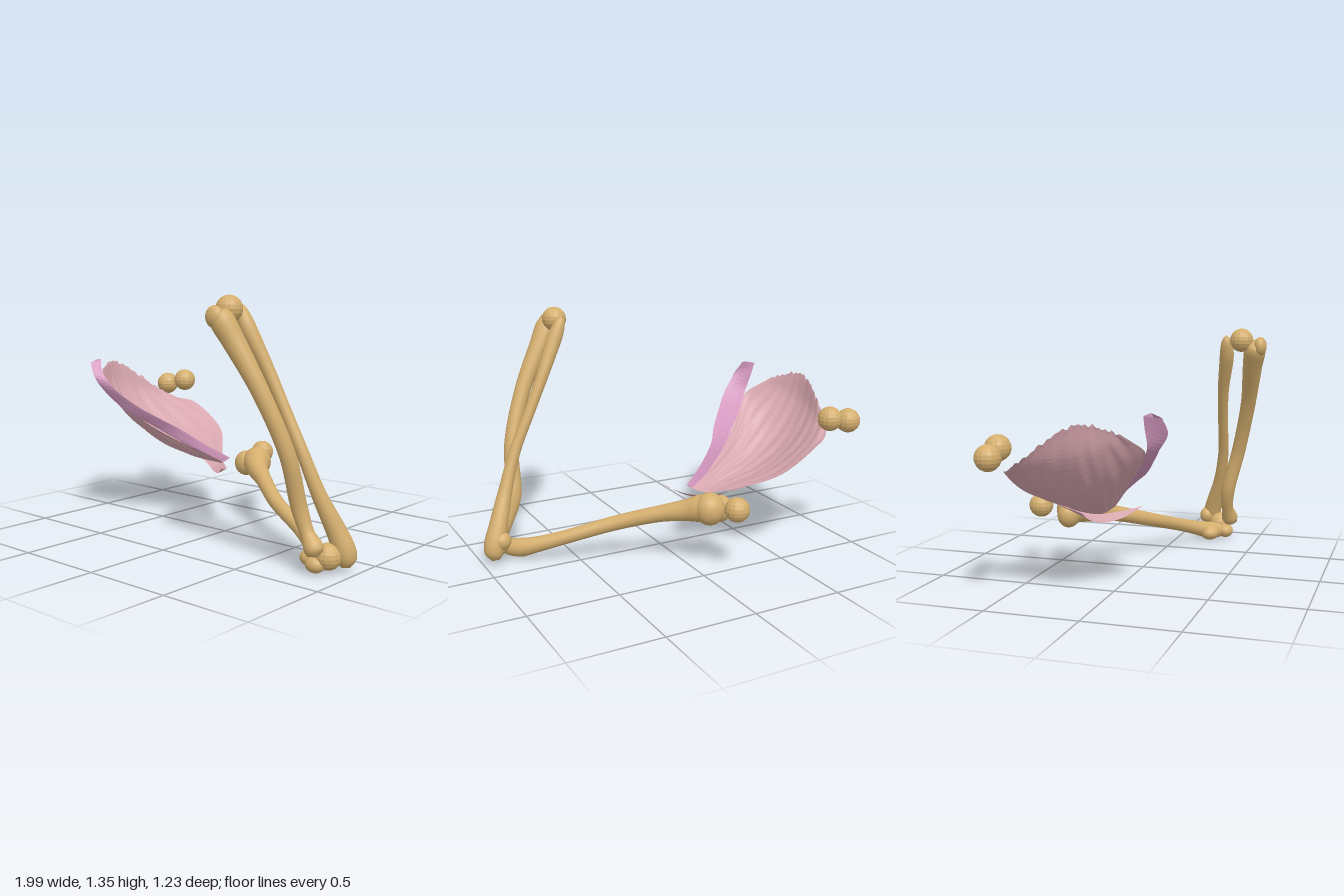
import * as THREE from 'three';
import { mergeVertices } from 'three/addons/utils/BufferGeometryUtils.js';

const bone = new THREE.MeshStandardMaterial({ color: 0xd4ae6e });
bone.name = 'bone';
const jointBone = new THREE.MeshStandardMaterial({ color: 0xd4ae6e, flatShading: true });
jointBone.name = 'facetedBone';
const bladePink = new THREE.MeshStandardMaterial({ color: 0xd6a5ad, side: THREE.DoubleSide, flatShading: true });
bladePink.name = 'bladePink';
const spinePink = new THREE.MeshStandardMaterial({ color: 0xd296bd, side: THREE.DoubleSide, flatShading: true });
spinePink.name = 'spinePink';

const V = (p) => new THREE.Vector3(p[0], p[1], p[2]);

// Tube through [x, y, z, radius] stations, with smooth varying thickness and closed ends
function longBone(name, stations, segments = 72, sides = 18) {
  const curve = new THREE.CatmullRomCurve3(stations.map(V));
  const radii = new THREE.SplineCurve(stations.map((s, i) => new THREE.Vector2(i, s[3])));
  let geo = new THREE.TubeGeometry(curve, segments, 1, sides);
  const pos = geo.attributes.position;
  const p = new THREE.Vector3();
  for (let i = 0; i <= segments; i++) {
    const centre = curve.getPointAt(i / segments);
    const isEnd = i === 0 || i === segments;
    const r = isEnd ? 0 : Math.max(0.004, radii.getPoint(curve.getUtoTmapping(i / segments)).y);
    for (let j = 0; j <= sides; j++) {
      const k = i * (sides + 1) + j;
      p.fromBufferAttribute(pos, k).sub(centre).multiplyScalar(r).add(centre);
      pos.setXYZ(k, p.x, p.y, p.z);
    }
  }
  geo.deleteAttribute('uv');
  geo.deleteAttribute('normal');
  geo = mergeVertices(geo, 1e-5);
  geo.computeVertexNormals();
  const mesh = new THREE.Mesh(geo, bone);
  mesh.name = name;
  return mesh;
}

// Smooth rounded lump of bone
function lobe(name, at, size) {
  const mesh = new THREE.Mesh(new THREE.SphereGeometry(1, 24, 16), bone);
  mesh.position.copy(V(at));
  mesh.scale.set(...size);
  mesh.name = name;
  return mesh;
}

// Skin over rows of control points; bump(u, v) lifts the surface in y
function loft(name, rows, nu, nv, material, { bump = () => 0, closed = false } = {}) {
  const across = rows[0].map((_, c) => new THREE.CatmullRomCurve3(rows.map((r) => V(r[c]))));
  const verts = [];
  const index = [];
  for (let i = 0; i <= nu; i++) {
    const u = i / nu;
    const pts = across.map((c) => c.getPoint(u));
    const section = new THREE.CatmullRomCurve3(pts, closed, 'catmullrom', closed ? 0.15 : 0.5);
    for (let j = 0; j <= nv; j++) {
      const q = section.getPoint(j / nv);
      verts.push(q.x, q.y + bump(u, j / nv), q.z);
      if (i < nu && j < nv) {
        const a = i * (nv + 1) + j;
        const b = a + nv + 1;
        index.push(a, a + 1, b, b, a + 1, b + 1);
      }
    }
  }
  const geo = new THREE.BufferGeometry();
  geo.setAttribute('position', new THREE.Float32BufferAttribute(verts, 3));
  geo.setIndex(index);
  geo.computeVertexNormals();
  const mesh = new THREE.Mesh(geo, material);
  mesh.name = name;
  return mesh;
}

function createUpperArm() {
  const g = new THREE.Group();
  g.name = 'upperArmBone';
  g.add(
    longBone('upperArmShaft', [
      [-0.15, 0.35, -0.42, 0.03], [-0.08, 0.34, -0.375, 0.075], [0.0, 0.315, -0.3, 0.06],
      [0.11, 0.287, -0.215, 0.046], [0.32, 0.217, -0.065, 0.041], [0.58, 0.135, 0.06, 0.039],
      [0.7, 0.095, 0.13, 0.044], [0.78, 0.068, 0.195, 0.052], [0.83, 0.06, 0.255, 0.045], [0.855, 0.06, 0.3, 0.02],
    ]),
    lobe('upperArmHead', [-0.09, 0.34, -0.4], [0.085, 0.09, 0.083]),
    lobe('upperArmTubercle', [-0.165, 0.325, -0.385], [0.07, 0.075, 0.064]),
    lobe('outerCondyle', [0.84, 0.057, 0.295], [0.052, 0.043, 0.048]),
    lobe('innerCondyle', [0.765, 0.055, 0.21], [0.07, 0.046, 0.06]),
  );
  return g;
}

function createForearm() {
  const g = new THREE.Group();
  g.name = 'forearmBones';
  g.add(
    longBone('outerForearmBone', [
      [0.87, 0.105, 0.325, 0.015], [0.86, 0.12, 0.325, 0.042], [0.845, 0.15, 0.32, 0.05],
      [0.805, 0.21, 0.315, 0.037], [0.763, 0.33, 0.325, 0.042], [0.74, 0.6, 0.395, 0.042],
      [0.635, 0.9, 0.47, 0.045], [0.5, 1.15, 0.52, 0.058], [0.45, 1.24, 0.542, 0.062], [0.425, 1.285, 0.555, 0.04],
    ]),
    lobe('outerForearmLip', [0.435, 1.255, 0.575], [0.05, 0.055, 0.036]),
    longBone('innerForearmBone', [
      [0.955, 0.03, 0.165, 0.015], [0.945, 0.055, 0.17, 0.045], [0.935, 0.11, 0.18, 0.058],
      [0.905, 0.2, 0.2, 0.053], [0.83, 0.4, 0.26, 0.038], [0.755, 0.6, 0.295, 0.032],
      [0.66, 0.8, 0.31, 0.03], [0.565, 1.0, 0.332, 0.034], [0.47, 1.2, 0.37, 0.042],
      [0.435, 1.28, 0.375, 0.03], [0.425, 1.32, 0.378, 0.012],
    ]),
    lobe('elbowHook', [0.895, 0.14, 0.16], [0.05, 0.05, 0.045]),
  );
  return g;
}

function createShoulderBlade() {
  const g = new THREE.Group();
  g.name = 'shoulderBlade';
  // Fan-shaped bowl from the neck to the inner border, with faint radiating ridges
  const ripple = (u, v) => 0.003 * Math.min(1, 3 * u) * (Math.sin(v * 61 + u * 3) + Math.sin(v * 37 - u * 9))
    + (u > 0.97 ? 0.005 * Math.sin(v * 90) : 0);
  g.add(
    loft('blade', [
      [[-0.13, 0.38, -0.12], [-0.15, 0.36, -0.15], [-0.2, 0.35, -0.2]],
      [[-0.35, 0.48, -0.01], [-0.36, 0.385, -0.12], [-0.3, 0.4, -0.32]],
      [[-0.56, 0.61, 0.12], [-0.57, 0.45, -0.1], [-0.48, 0.5, -0.5]],
      [[-0.72, 0.77, 0.24], [-0.76, 0.57, -0.08], [-0.72, 0.645, -0.51]],
      [[-0.81, 0.84, 0.2], [-0.905, 0.76, -0.06], [-0.81, 0.67, -0.45]],
      [[-0.86, 0.88, 0.16], [-0.945, 0.92, -0.05], [-0.87, 0.71, -0.38]],
    ], 32, 56, bladePink, { bump: ripple }),
    // Lower lip running from the socket along the outer border
    loft('socketLip', [
      [[-0.02, 0.37, 0.01], [-0.03, 0.36, -0.02]],
      [[-0.12, 0.315, -0.08], [-0.1, 0.34, -0.13]],
      [[-0.22, 0.305, -0.15], [-0.2, 0.345, -0.22]],
      [[-0.32, 0.335, -0.2], [-0.31, 0.395, -0.33]],
      [[-0.45, 0.4, -0.2], [-0.46, 0.485, -0.47]],
    ], 20, 6, bladePink),
    // Curved ridge along the front border, a flat band with a shallow keel
    loft('bladeSpine', [
      [[-0.73, 0.97, 0.27], [-0.75, 0.95, 0.33], [-0.79, 0.96, 0.25]],
      [[-0.685, 0.9, 0.3], [-0.7, 0.87, 0.345], [-0.77, 0.9, 0.25]],
      [[-0.6, 0.8, 0.28], [-0.67, 0.78, 0.29], [-0.73, 0.8, 0.25]],
      [[-0.5, 0.7, 0.195], [-0.57, 0.66, 0.205], [-0.64, 0.69, 0.18]],
      [[-0.41, 0.625, 0.1], [-0.47, 0.585, 0.11], [-0.53, 0.6, 0.095]],
      [[-0.35, 0.57, 0.02], [-0.39, 0.52, 0.03], [-0.43, 0.525, 0.02]],
      [[-0.22, 0.475, -0.075], [-0.23, 0.43, -0.065], [-0.27, 0.43, -0.075]],
      [[-0.09, 0.4, -0.15], [-0.12, 0.375, -0.13], [-0.13, 0.38, -0.15]],
    ], 35, 9, spinePink, { closed: true }),
  );
  return g;
}

export function createModel() {
  const model = new THREE.Group();
  model.name = 'forelimbSkeleton';
  model.add(createShoulderBlade(), createUpperArm(), createForearm());

  // Faceted balls marking the joints
  const ball = new THREE.SphereGeometry(0.068, 16, 10);
  const joints = {
    bladeJointOuter: [-0.93, 0.75, -0.49],
    bladeJointInner: [-0.79, 0.78, -0.505],
    shoulderJoint: [-0.17, 0.37, -0.55],
    elbowJoint: [0.885, 0.095, 0.25],
    wristJoint: [0.433, 1.29, 0.465],
  };
  for (const [name, at] of Object.entries(joints)) {
    const mesh = new THREE.Mesh(ball, jointBone);
    mesh.position.copy(V(at));
    mesh.name = name;
    model.add(mesh);
  }
  return model;
}
